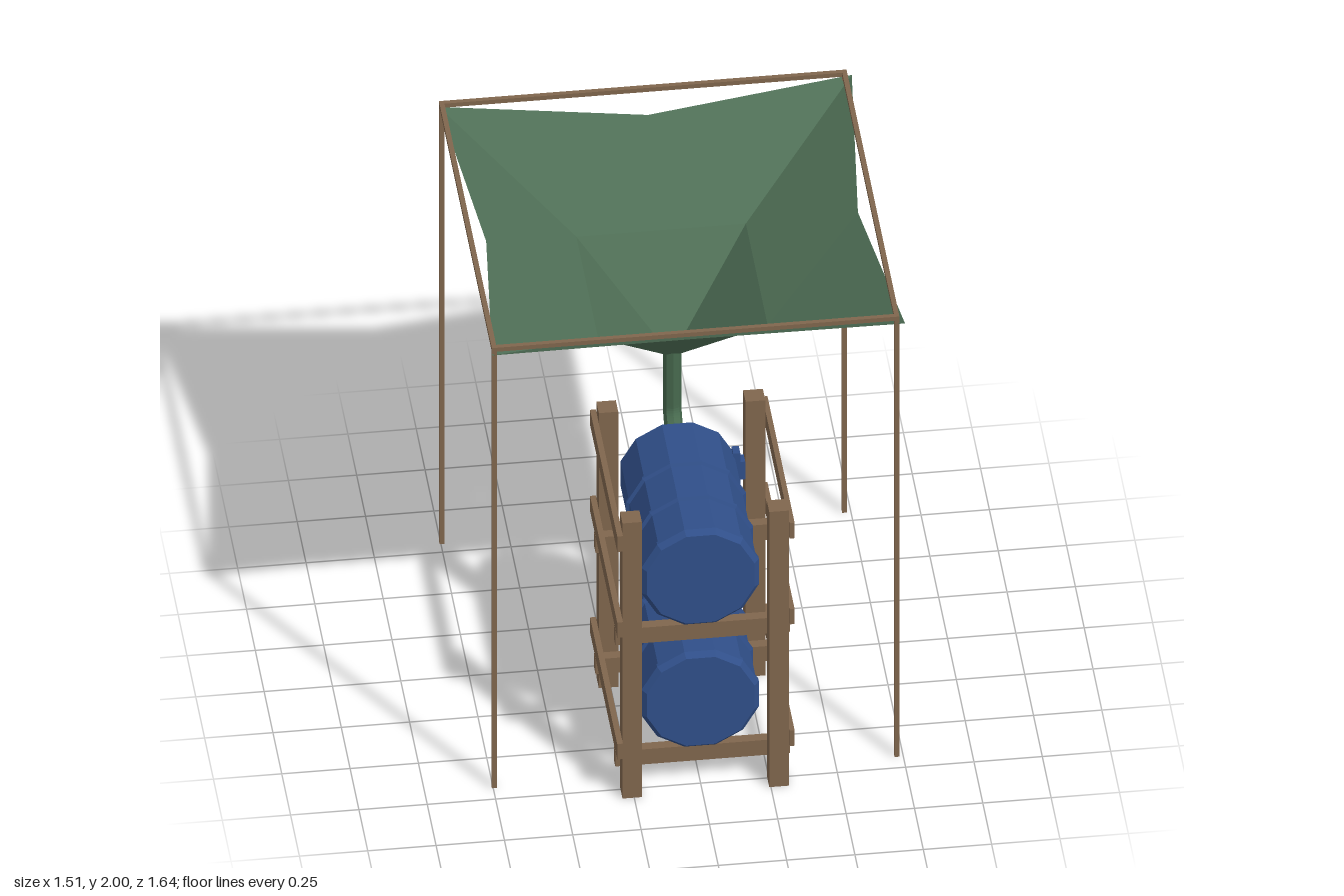
import * as THREE from 'three';

const material = (name, color, side = THREE.FrontSide) => {
  const m = new THREE.MeshStandardMaterial({ color, side });
  m.name = name;
  return m;
};

// Faceted copy of a geometry
const faceted = (geometry) => {
  const g = geometry.index ? geometry.toNonIndexed() : geometry;
  g.computeVertexNormals();
  return g;
};

export function createModel() {
  const model = new THREE.Group();
  model.name = 'rainwaterCollector';
  const wood = material('wood', 0x80664d);
  const blue = material('barrelBlue', 0x304f89);
  const cloth = material('canopyGreen', 0x4f6f56, THREE.DoubleSide);
  const pipeGreen = material('pipeGreen', 0x47694e, THREE.DoubleSide);
  const brass = material('tapBrown', 0x74563c);

  const add = (parent, name, geometry, mat) => {
    const mesh = new THREE.Mesh(geometry, mat);
    mesh.name = name;
    parent.add(mesh);
    return mesh;
  };
  // Box given by its limits on each axis
  const box = (parent, name, mat, [x0, x1], [y0, y1], [z0, z1]) => {
    const mesh = add(parent, name, new THREE.BoxGeometry(x1 - x0, y1 - y0, z1 - z0), mat);
    mesh.position.set((x0 + x1) / 2, (y0 + y1) / 2, (z0 + z1) / 2);
    return mesh;
  };

  // Thin frame that carries the canopy
  const frame = new THREE.Group();
  frame.name = 'canopyFrame';
  model.add(frame);
  const poleX = [[-0.755, -0.737], [0.718, 0.736]];
  const poleZ = [[-0.817, -0.799], [0.666, 0.684]];
  for (const x of poleX) for (const z of poleZ) box(frame, 'pole', wood, x, [0, 1.985], z);
  for (const x of poleX) box(frame, 'sideBeam', wood, x, [1.982, 2], [-0.817, 0.684]);
  for (const z of poleZ) box(frame, 'crossBeam', wood, [-0.755, 0.736], [1.982, 2], z);

  // Canopy: four equal panels with dipped edges, steeper towards the outlet
  const A = [-0.755, 1.975, 0.755], B = [0.755, 1.975, 0.755], M = [0, 1.922, 0.68];
  const R1 = [-0.31, 1.675, 0.31], R2 = [0.31, 1.675, 0.31];
  const N1 = [-0.028, 1.365, 0.028], N2 = [0.028, 1.365, 0.028];
  const triangles = [A, R1, M, R1, R2, M, R2, B, M, R1, N1, R2, N1, N2, R2];
  const canopy = new THREE.Group();
  canopy.name = 'canopy';
  canopy.position.z = -0.06;
  model.add(canopy);
  for (let i = 0; i < 4; i++) {
    const g = new THREE.BufferGeometry();
    g.setAttribute('position', new THREE.Float32BufferAttribute(triangles.flat(), 3));
    g.computeVertexNormals();
    add(canopy, 'canopyPanel', g, cloth).rotation.y = i * Math.PI / 2;
  }

  // Timber rack
  const rack = new THREE.Group();
  rack.name = 'rack';
  model.add(rack);
  for (const x of [[-0.293, -0.222], [0.244, 0.316]])
    for (const z of [[0.066, 0.136], [0.735, 0.806]]) box(rack, 'rackPost', wood, x, [0, 1.25], z);
  for (const x of [[-0.314, -0.293], [0.316, 0.335]])
    for (const y of [[0.19, 0.26], [0.743, 0.812], [1.133, 1.203]])
      box(rack, 'sideRail', wood, x, y, [0.05, 0.82]);
  for (const y of [[0.094, 0.162], [0.645, 0.715]])
    for (const z of [[0.136, 0.175], [0.696, 0.735]])
      box(rack, 'crossBar', wood, [-0.31, 0.329], y, z);

  // Twelve-sided barrels lying along z, with raised hoops
  const k = 1 / Math.cos(Math.PI / 12);
  const profile = [
    [0, 0.065], [0.185, 0.065], [0.207, 0.085],
    [0.207, 0.322], [0.219, 0.328], [0.219, 0.338], [0.207, 0.344],
    [0.207, 0.529], [0.219, 0.535], [0.219, 0.545], [0.207, 0.551],
    [0.207, 0.715], [0.215, 0.72], [0.215, 0.735], [0.197, 0.755], [0, 0.755],
  ].map(([r, z]) => new THREE.Vector2(r * k, z));
  const barrelGeometry = faceted(
    new THREE.LatheGeometry(profile, 12, Math.PI / 12).rotateX(Math.PI / 2));
  for (const y of [0.375, 0.93]) {
    const barrel = new THREE.Group();
    barrel.name = 'barrel';
    barrel.position.y = y;
    model.add(barrel);
    add(barrel, 'barrelBody', barrelGeometry, blue);
    // Fitting on the side and grips on the rear end
    box(barrel, 'sideFitting', blue, [0.2, 0.226], [-0.085, 0.08], [0.08, 0.125]);
    box(barrel, 'sideFittingCap', blue, [0.226, 0.244], [-0.04, 0.04], [0.08, 0.125]);
    for (const x of [-0.08, 0.08])
      box(barrel, 'rearGrip', blue, [x - 0.01, x + 0.01], [-0.06, 0.07], [0.053, 0.07]);
  }

  // Pipes: straight runs joined by rounded bends
  const pipe = (name, corners, bend) => {
    const p = corners.map(([y, z]) => new THREE.Vector3(0, y, z));
    const path = new THREE.CurvePath();
    let from = p[0];
    for (let i = 1; i < p.length - 1; i++) {
      const start = p[i].clone().add(p[i - 1].clone().sub(p[i]).setLength(bend));
      const end = p[i].clone().add(p[i + 1].clone().sub(p[i]).setLength(bend));
      path.add(new THREE.LineCurve3(from, start));
      path.add(new THREE.CubicBezierCurve3(
        start, start.clone().lerp(p[i], 0.55), end.clone().lerp(p[i], 0.55), end));
      from = end;
    }
    path.add(new THREE.LineCurve3(from, p[p.length - 1]));
    add(model, name, faceted(new THREE.TubeGeometry(path, 30, 0.034, 8, false)), pipeGreen);
  };
  pipe('inletPipe', [[1.375, -0.057], [1.042, -0.057], [1.042, 0.075]], 0.085);
  pipe('linkPipe', [[0.812, 0.075], [0.812, -0.057], [0.473, -0.057], [0.473, 0.075]], 0.085);

  // Tap on the lower barrel
  const tap = new THREE.Group();
  tap.name = 'tap';
  tap.position.y = 0.235;
  model.add(tap);
  const rod = (name, r, h, y, z, tilt = 0) => {
    const mesh = add(tap, name, faceted(new THREE.CylinderGeometry(r, r, h, 8)), brass);
    mesh.position.set(0, y, z);
    mesh.rotation.x = tilt;
  };
  rod('tapBody', 0.012, 0.095, 0, 0.022, Math.PI / 2);
  rod('tapValve', 0.02, 0.035, 0, 0.018, Math.PI / 2);
  rod('tapSpout', 0.011, 0.055, -0.017, -0.018);
  rod('tapStem', 0.007, 0.04, 0.025, 0.018);
  box(tap, 'tapHandle', brass, [-0.03, 0.03], [0.035, 0.047], [0.008, 0.028]);

  return model;
}
